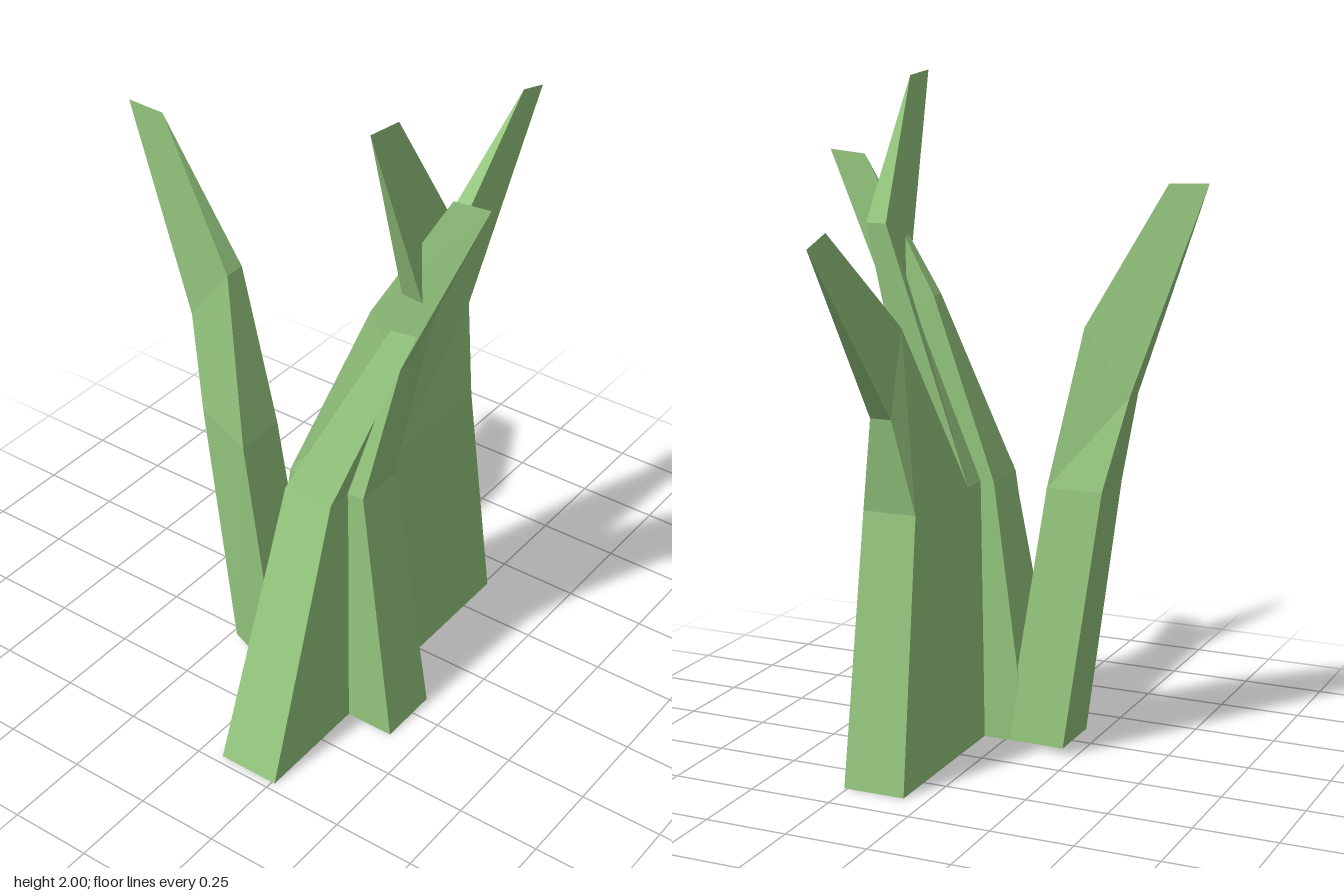
import * as THREE from 'three';

const material = new THREE.MeshStandardMaterial({ color: 0x93c47d, flatShading: true });

// One blade lofted through four-cornered sections, from the base to a sharp tip.
// Each row: outer edge [reach, y, side0, side1], then inner edge [reach, y, side0, side1].
function blade(name, axis, clockwise, rows) {
  const point = (reach, y, side) =>
    axis === 'x' ? new THREE.Vector3(reach, y, side) : new THREE.Vector3(side, y, reach);
  const rings = rows.map(([o, oy, o0, o1, i, iy, i0, i1]) => {
    const ring = [point(o, oy, o0), point(o, oy, o1), point(i, iy, i1), point(i, iy, i0)];
    return clockwise ? ring.reverse() : ring;
  });

  const positions = [];
  const triangle = (a, b, c) => {
    if (new THREE.Triangle(a, b, c).getArea() < 1e-7) return; // collapsed at the tip
    for (const p of [a, b, c]) positions.push(p.x, p.y, p.z);
  };
  const quad = (a, b, c, d) => { triangle(a, b, c); triangle(a, c, d); };

  for (let k = 0; k + 1 < rings.length; k++) {
    for (let j = 0; j < 4; j++) {
      const n = (j + 1) % 4;
      quad(rings[k][j], rings[k][n], rings[k + 1][n], rings[k + 1][j]);
    }
  }
  // flat underside
  const [a, b, c, d] = rings[0];
  quad(d, c, b, a);

  const geometry = new THREE.BufferGeometry();
  geometry.setAttribute('position', new THREE.Float32BufferAttribute(positions, 3));
  geometry.computeVertexNormals();
  const mesh = new THREE.Mesh(geometry, material);
  mesh.name = name;
  return mesh;
}

export function createModel() {
  const group = new THREE.Group();
  group.name = 'grassTuft';

  group.add(
    // broad blade bending out to the left
    blade('leftBlade', 'x', true, [
      [0.385, 0, 0.07, 0.26, -0.18, 0, 0.07, 0.26],
      [0.265, 0.8, 0.085, 0.25, -0.1, 0.8, 0.09, 0.245],
      [0.305, 1.08, 0.14, 0.205, 0.235, 1.33, 0.14, 0.2],
      [0.72, 1.61, 0.17, 0.17, 0.61, 1.64, 0.173, 0.173],
    ]),
    // tallest blade, wide at the foot, leaning forward and curling to the right
    blade('rightBlade', 'x', false, [
      [-0.725, 0, 0.07, 0.26, -0.13, 0, 0.07, 0.26],
      [-0.425, 0.8, 0.085, 0.242, -0.1, 0.8, 0.09, 0.245],
      [-0.22, 1.38, 0.34, 0.41, -0.07, 1.575, 0.34, 0.405],
      [-0.425, 2, 0.37, 0.37, -0.31, 1.99, 0.375, 0.375],
    ]),
    // narrow blade bending forward
    blade('frontBlade', 'z', false, [
      [0.41, 0, -0.365, -0.175, -0.07, 0, -0.365, -0.175],
      [0.295, 0.8, -0.345, -0.187, 0.045, 0.8, -0.35, -0.187],
      [0.345, 1.2, -0.245, -0.195, 0.245, 1.35, -0.245, -0.195],
      [0.6, 1.77, -0.222, -0.222, 0.485, 1.76, -0.222, -0.222],
    ]),
    // narrow blade bending backward, slightly twisted
    blade('backBlade', 'z', true, [
      [-0.215, 0.025, -0.3, -0.11, 0, 0, -0.365, -0.18],
      [-0.325, 0.82, -0.285, -0.125, -0.125, 0.8, -0.35, -0.19],
      [-0.39, 1.1, -0.24, -0.17, -0.24, 1.29, -0.255, -0.19],
      [-0.6, 1.72, -0.222, -0.222, -0.48, 1.715, -0.222, -0.222],
    ]),
  );
  return group;
}
